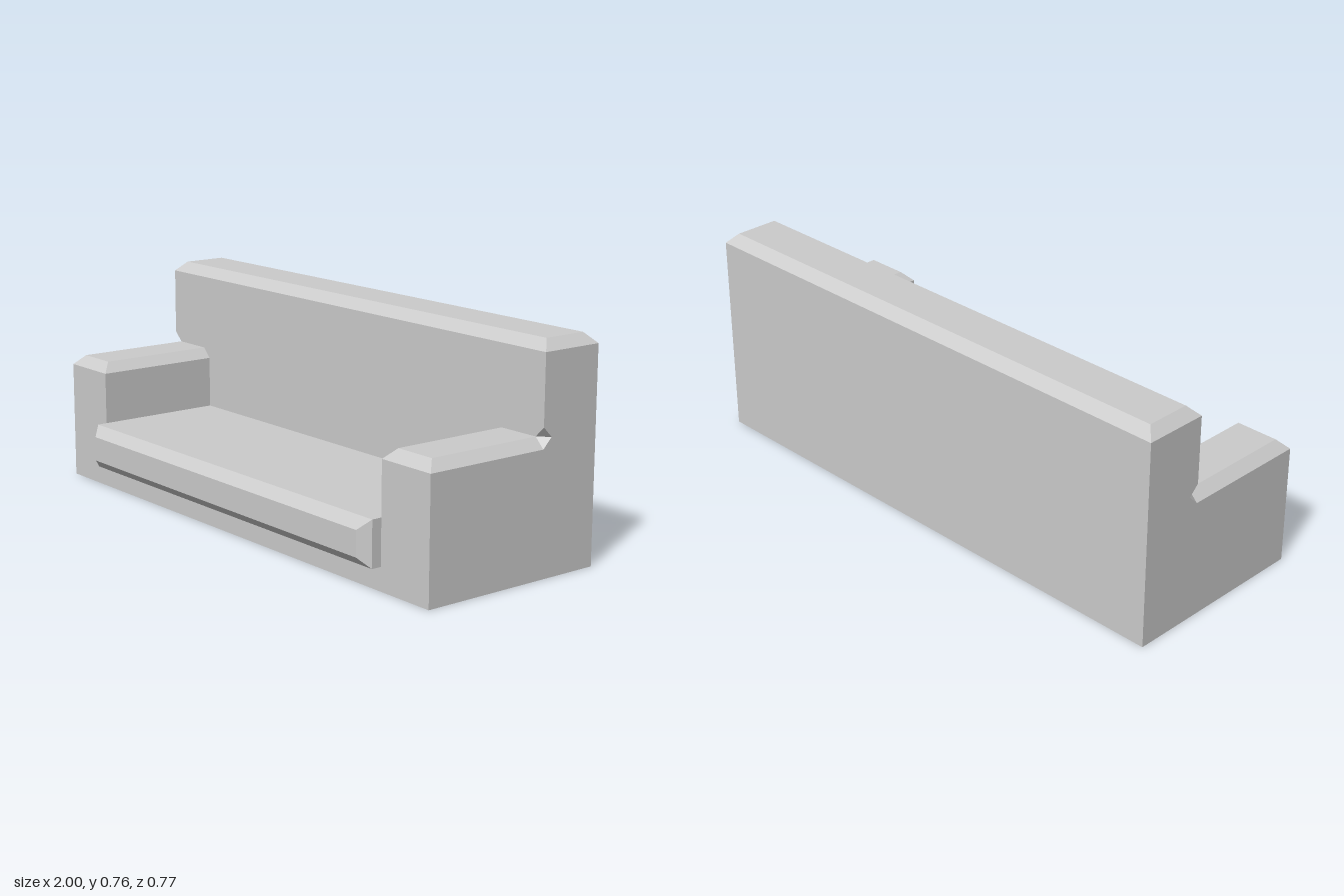
import * as THREE from 'three';

// key dimensions
const B = 0.035;                                  // bevel
const ZB = -0.383, ZR = -0.153, ZF = 0.312;       // back, backrest front, body front
const XI = 0.778;                                 // inner face of the arms
const ARM = 0.458, SEAT = 0.238, TOP = 0.765, LIP = 0.08;

const material = new THREE.MeshStandardMaterial({
  color: 0xcccccc, flatShading: true, side: THREE.DoubleSide,
});

function mesh(name, geometry) {
  const m = new THREE.Mesh(geometry, material);
  m.name = name;
  return m;
}

// convex polygons (counter-clockwise corners) to one geometry
function panels(polygons) {
  const pos = [];
  for (const p of polygons)
    for (let i = 1; i < p.length - 1; i++) pos.push(...p[0], ...p[i], ...p[i + 1]);
  const g = new THREE.BufferGeometry();
  g.setAttribute('position', new THREE.Float32BufferAttribute(pos, 3));
  g.computeVertexNormals();
  return g;
}

// quads joining successive closed loops
function loft(loops) {
  const quads = [];
  for (let k = 0; k < loops.length - 1; k++) {
    const a = loops[k], b = loops[k + 1], n = a.length;
    for (let i = 0; i < n; i++) quads.push([a[i], a[(i + 1) % n], b[(i + 1) % n], b[i]]);
  }
  return quads;
}

const flat = (pts) =>
  new THREE.ShapeGeometry(new THREE.Shape(pts.map(([x, y]) => new THREE.Vector2(x, y))));

// one end: side panel, arm and corner notch (built on +x)
function createEnd() {
  const end = new THREE.Group();
  const low = ARM - B, high = ARM + B;

  // L-shaped outer side, drawn in (-z, y)
  const side = flat([
    [-ZF, 0], [-ZB, 0], [-ZB, TOP - B], [-ZR, TOP - B], [-ZR, high],
    [-ZR + B, ARM], [-ZR, low], [-ZF, low],
  ]).rotateY(Math.PI / 2).translate(1, 0, 0);
  end.add(mesh('sidePanel', side));

  const xo = 1 - B, xi = XI + B, zf = ZF - B;
  end.add(mesh('arm', panels([
    [[XI, 0, ZF], [1, 0, ZF], [1, low, ZF], [XI, low, ZF]],            // front
    [[XI, SEAT, ZR], [XI, SEAT, ZF], [XI, low, ZF], [XI, low, ZR]],    // inner side
    [[xi, ARM, zf], [xo, ARM, zf], [xo, ARM, ZR], [xi, ARM, ZR]],      // top
    [[XI, low, ZF], [1, low, ZF], [xo, ARM, zf], [xi, ARM, zf]],       // front bevel
    [[1, low, ZF], [1, low, ZR], [xo, ARM, ZR], [xo, ARM, zf]],        // outer bevel
    [[XI, low, ZR], [XI, low, ZF], [xi, ARM, zf], [xi, ARM, ZR]],      // inner bevel
  ])));

  // small notch where the arm bevel runs into the backrest
  const inner = [xo, ARM, ZR], outer = [1, ARM, ZR - B];
  end.add(mesh('cornerNotch', panels([
    [[1, high, ZR], inner, outer],
    [[1, low, ZR], outer, inner],
  ])));
  return end;
}

export function createModel() {
  const sofa = new THREE.Group();
  sofa.name = 'sofa';

  // mirrored ends
  for (const s of [1, -1]) {
    const end = createEnd();
    end.name = s > 0 ? 'leftEnd' : 'rightEnd';
    end.scale.x = s;
    sofa.add(end);
  }

  // backrest front, cut around the arms
  const half = [
    [XI, SEAT], [XI, ARM - B], [XI + B, ARM], [1 - B, ARM], [1, ARM + B], [1, TOP - B],
  ];
  const mirrored = half.map(([x, y]) => [-x, y]).reverse();
  sofa.add(mesh('backrestFront', flat([...half, ...mirrored]).translate(0, 0, ZR)));

  // backrest rear and bevelled top
  const ring = (d, y) => [
    [-1 + d, y, ZR - d], [1 - d, y, ZR - d], [1 - d, y, ZB + d], [-1 + d, y, ZB + d],
  ];
  const cap = ring(B, TOP);
  sofa.add(mesh('backrestTop', panels([...loft([ring(0, TOP - B), cap]), cap])));
  sofa.add(mesh('backrestRear', panels([
    [[1, 0, ZB], [-1, 0, ZB], [-1, TOP - B, ZB], [1, TOP - B, ZB]],
  ])));

  // seat surface and the plinth below its front edge (the base is open)
  sofa.add(mesh('seat', panels([
    [[-XI, SEAT, ZF], [XI, SEAT, ZF], [XI, SEAT, ZR], [-XI, SEAT, ZR]],
  ])));
  sofa.add(mesh('plinth', panels([
    [[-XI, 0, ZF], [XI, 0, ZF], [XI, LIP, ZF], [-XI, LIP, ZF]],
  ])));

  // bevelled seat front
  const rect = (d, z) => [
    [-XI + d, LIP + d, z], [XI - d, LIP + d, z], [XI - d, SEAT - d, z], [-XI + d, SEAT - d, z],
  ];
  const face = rect(B, 0.383);
  sofa.add(mesh('seatFront', panels([...loft([rect(0, ZF), rect(0, 0.383 - B), face]), face])));

  return sofa;
}
